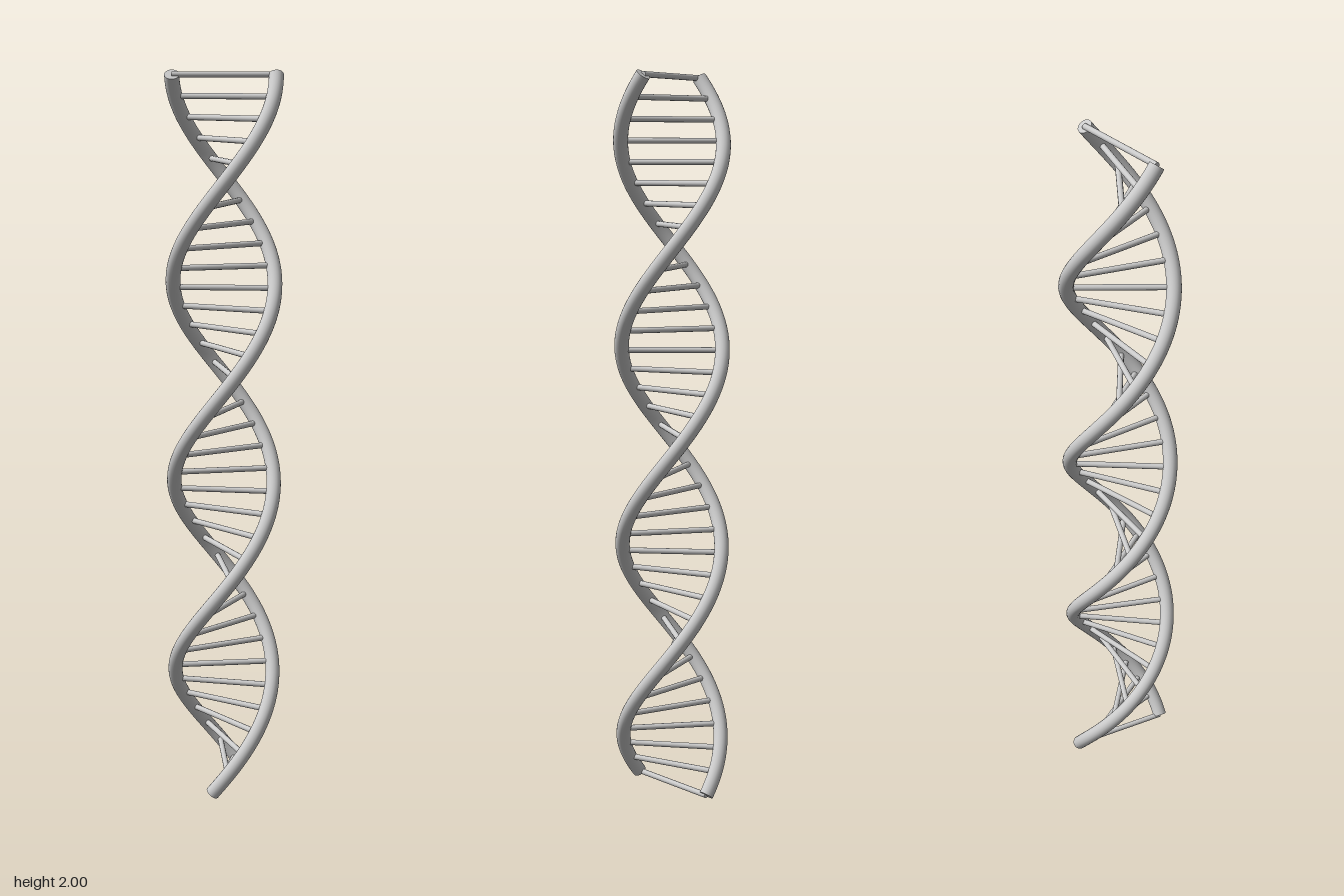
import * as THREE from 'three';

const RADIUS = 0.138;       // helix radius
const TUBE = 0.02;          // strand thickness
const HALF_TURN = 0.553;    // rise per half turn
const Y0 = 0.012, Y1 = 1.988;
const RUNGS = 36;

// Point on a strand; side is +1 or -1 for the two opposite strands
function helixPoint(y, side) {
  const a = (Math.PI * (y - 1.86)) / HALF_TURN;
  return new THREE.Vector3(side * RADIUS * Math.cos(a), y, -side * RADIUS * Math.sin(a));
}

class HelixCurve extends THREE.Curve {
  constructor(side) {
    super();
    this.side = side;
  }
  getPoint(t, target = new THREE.Vector3()) {
    return target.copy(helixPoint(Y0 + (Y1 - Y0) * t, this.side));
  }
}

export function createModel() {
  const model = new THREE.Group();
  model.name = 'doubleHelix';
  const material = new THREE.MeshStandardMaterial({ color: 0xcccccc });

  // Two strands with flat end caps
  for (const side of [1, -1]) {
    const strand = new THREE.Group();
    strand.name = side > 0 ? 'leftStrand' : 'rightStrand';
    const curve = new HelixCurve(side);
    const tube = new THREE.Mesh(new THREE.TubeGeometry(curve, 200, TUBE, 20, false), material);
    tube.name = 'strandTube';
    strand.add(tube);
    for (const t of [0, 1]) {
      const cap = new THREE.Mesh(new THREE.CircleGeometry(TUBE, 20), material);
      cap.name = t ? 'topCap' : 'bottomCap';
      const outward = curve.getTangent(t).multiplyScalar(t ? 1 : -1);
      cap.quaternion.setFromUnitVectors(new THREE.Vector3(0, 0, 1), outward);
      cap.position.copy(curve.getPoint(t));
      strand.add(cap);
    }
    model.add(strand);
  }

  // Rungs joining the strands
  const rungs = new THREE.Group();
  rungs.name = 'rungs';
  const rungGeometry = new THREE.CylinderGeometry(0.008, 0.008, RADIUS * 2, 12);
  for (let i = 0; i < RUNGS; i++) {
    const y = Y0 + ((Y1 - Y0) * i) / (RUNGS - 1);
    const rung = new THREE.Mesh(rungGeometry, material);
    rung.name = 'rung';
    const direction = helixPoint(y, 1).setY(0).normalize();
    rung.quaternion.setFromUnitVectors(new THREE.Vector3(0, 1, 0), direction);
    rung.position.y = y;
    rungs.add(rung);
  }
  model.add(rungs);

  return model;
}
